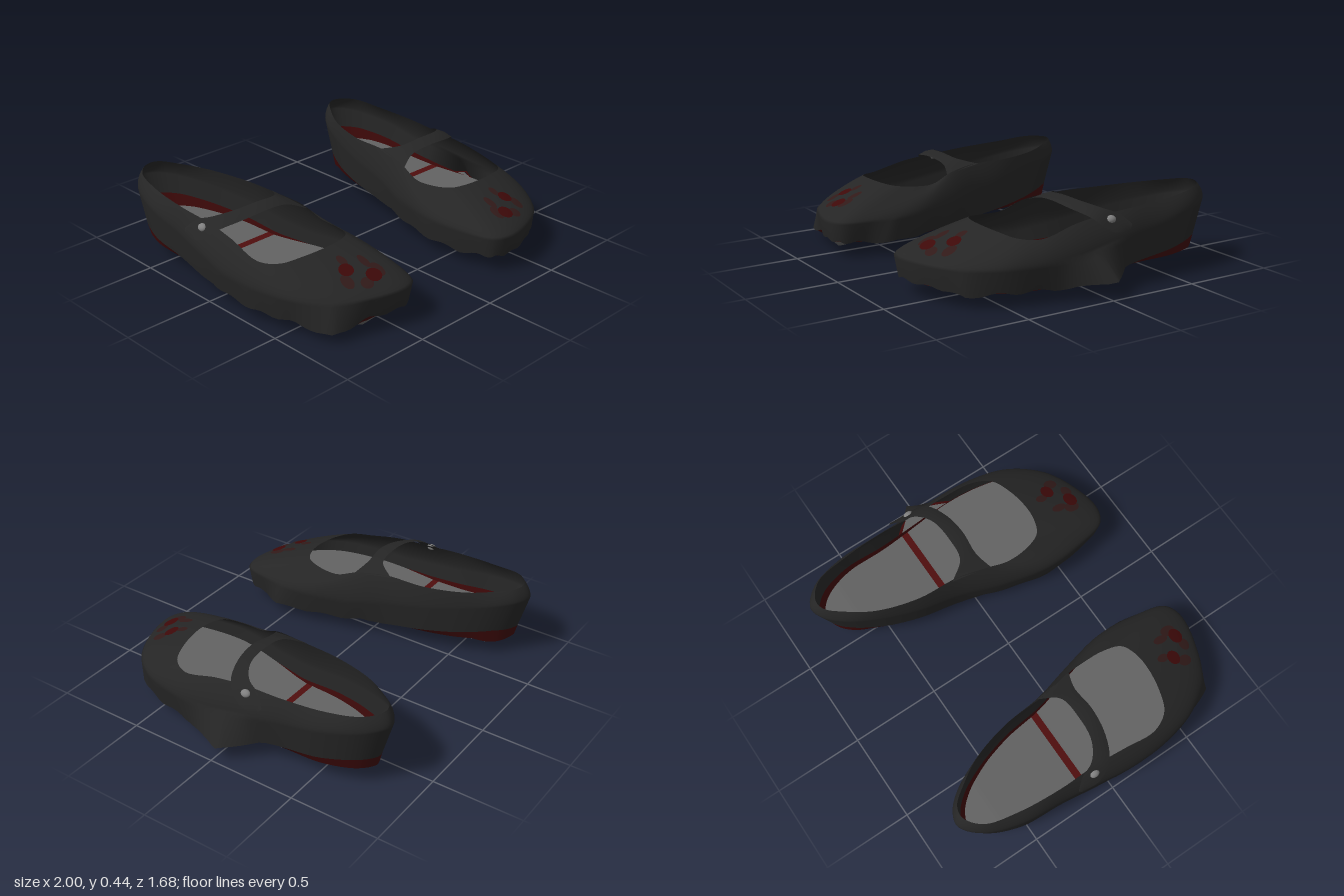
import * as THREE from 'three';

const mat = (name, color) => Object.assign(new THREE.MeshStandardMaterial({ color, side: THREE.DoubleSide }), { name });
const black = mat('black leather', 0x252525);
const red = mat('dark red', 0x3e0909);
const brightRed = mat('seam red', 0x500e0e);
const brown = mat('faded red', 0x311a19);
const grey = mat('insole grey', 0x626262);
const metal = mat('button grey', 0x808080);

const N = 120;
const V = (x, y, z) => new THREE.Vector3(x, y, z);
const clamp = THREE.MathUtils.clamp, lerp = THREE.MathUtils.lerp;

// Heel round the outer side to the toe and back: outline x, z, then rim x, y, z
const PLAN = [
  [-.77, -.84, -.765, .445, -.80], [-.865, -.76, -.85, .44, -.73], [-.94, -.55, -.895, .42, -.55],
  [-.955, -.3, -.915, .405, -.3], [-.98, -.08, -.91, .39, -.08], [-1, .15, -.92, .37, .1],
  [-.985, .37, -.925, .325, .3], [-.93, .56, -.87, .33, .4], [-.8, .72, -.76, .345, .445],
  [-.62, .81, -.62, .355, .465], [-.45, .84, -.52, .355, .455], [-.36, .8, -.45, .35, .42],
  [-.315, .65, -.415, .34, .32], [-.295, .4, -.41, .34, .2], [-.35, .14, -.425, .385, .08],
  [-.42, -.1, -.46, .41, -.1], [-.46, -.35, -.475, .41, -.33], [-.53, -.57, -.54, .42, -.56],
  [-.61, -.73, -.63, .435, -.71], [-.69, -.815, -.70, .445, -.79]];

function sample(points, closed, n) {
  const c = new THREE.CatmullRomCurve3(points, closed);
  return Array.from({ length: n }, (_, i) => c.getPoint(i / (closed ? n : n - 1)));
}

// Skin between rows of points
function loft(rows, closed) {
  const n = rows[0].length, pos = [], idx = [];
  rows.forEach(r => r.forEach(p => pos.push(p.x, p.y, p.z)));
  for (let j = 0; j < rows.length - 1; j++)
    for (let i = 0; i < (closed ? n : n - 1); i++) {
      const a = j * n + i, b = j * n + (i + 1) % n;
      idx.push(a, b, b + n, a, b + n, a + n);
    }
  const g = new THREE.BufferGeometry();
  g.setAttribute('position', new THREE.Float32BufferAttribute(pos, 3));
  g.setIndex(idx);
  g.computeVertexNormals();
  return g;
}

// Moves a ring inwards in plan
function inset(ring, d) {
  return ring.map((p, i) => {
    const a = ring[(i + N - 1) % N], b = ring[(i + 1) % N];
    const l = Math.hypot(b.x - a.x, b.z - a.z) || 1;
    return V(p.x + (b.z - a.z) / l * d, p.y, p.z - (b.x - a.x) / l * d);
  });
}

// Surface filling a ring between two z limits, at height y(x, z)
function plate(ring, z0, z1, y) {
  const zs = ring.map(p => p.z), rows = [], steps = 48;
  z0 = Math.max(z0, Math.min(...zs) + .001);
  z1 = Math.min(z1, Math.max(...zs) - .001);
  for (let s = 0; s <= steps; s++) {
    const z = lerp(z0, z1, .5 - .5 * Math.cos(Math.PI * s / steps)), xs = [];
    ring.forEach((p, i) => {
      const q = ring[(i + 1) % N];
      if ((p.z <= z) !== (q.z <= z)) xs.push(lerp(p.x, q.x, (z - p.z) / (q.z - p.z)));
    });
    const lo = Math.min(...xs), hi = Math.max(...xs);
    rows.push(Array.from({ length: 13 }, (_, k) => {
      const x = lerp(lo, hi, k / 12);
      return V(x, y(x, z), z);
    }));
  }
  return loft(rows, false);
}

const withY = (ring, y) => ring.map(p => V(p.x, y(p.z), p.z));
const mix = (a, b, t) => a.map((p, i) => p.clone().lerp(b[i], t));

// spikes: ragged points of the lower edge [x, y, z, reach]; toe: sole point [x, z, depth]
function makeShoe(name, spikes, toe) {
  const shoe = new THREE.Group();
  shoe.name = name;
  const add = (part, geo, m) => {
    const mesh = new THREE.Mesh(geo, m);
    mesh.name = part;
    shoe.add(mesh);
    return mesh;
  };
  const sag = z => .015 * Math.sin(Math.PI * clamp(z / .84, 0, 1));
  const edgeY = z => lerp(.1, .175, clamp((-.1 - z) / .62, 0, 1)) - sag(z);
  const midY = z => .2 + .17 * clamp((.1 - z) / .94, 0, 1);

  // The heel leans in towards its lower edge
  const outline = sample(PLAN.map(p => V(p[0], 0, p[1])), true, N);
  const rim = sample(PLAN.map(p => V(p[2], p[3], p[4])), true, N);
  const mid = withY(outline, midY);
  const base = inset(outline, .018).map(p => V(p.x, edgeY(p.z), p.z < -.5 ? -.5 + (p.z + .5) * .88 : p.z));

  // Upper: ragged lower edge, widest line, then curving in to the rim
  const ragged = base.map((p, i) => V(p.x, p.y + (p.z > 0 ? .007 * Math.sin(i * 1.1) : 0), p.z));
  const wide = mid.map(p => p.clone());
  for (const [x, y, z, reach] of spikes) {
    const tip = V(x, y, z);
    const root = base.reduce((a, p) => p.distanceTo(tip) < a.distanceTo(tip) ? p : a);
    const move = tip.clone().sub(root);
    base.forEach((p, i) => {
      const w = Math.max(0, 1 - p.distanceTo(root) / reach);
      ragged[i].addScaledVector(move, w);
      wide[i].addScaledVector(move, w * .15);
    });
  }
  const rows = [ragged, wide];
  for (const t of [.03, .07, .12, .18, .25, .33, .41, .5, .6, .7, .8, .9, 1])
    rows.push(mid.map((p, i) => {
      const bulge = lerp(.55, .72, clamp((p.z - .45) / .3, 0, 1));
      return V(lerp(p.x, rim[i].x, t), lerp(p.y, rim[i].y, t ** bulge), lerp(p.z, rim[i].z, t));
    }));
  const upper = add('upper', loft(rows, true), black);

  // Welt and sole, with worn points under toe and heel
  const soleY = (x, z) => {
    const dz = z - toe[1];
    const toePoint = Math.max(0, 1 - Math.hypot((x - toe[0]) / .2, dz / (dz > 0 ? .09 : .24)));
    const heelPoint = Math.max(0, 1 - Math.hypot((x + .71) / .13, (z + .64) / .13));
    return .1 + .01 * clamp((-.1 - z) / .1, 0, 1) - sag(z) - .055 * heelPoint - toe[2] * toePoint;
  };
  const soleRing = inset(ragged, .016);
  add('welt', loft([ragged, soleRing.map(p => V(p.x, soleY(p.x, p.z), p.z))], true), red);
  add('sole', plate(soleRing, -1, 1, soleY), grey);

  // Insole: heel bed, red seam and forefoot, with a red lining round the edge
  const inner = inset(base, .01);
  const bedY = (x, z) => lerp(.15, .19, clamp((-.12 - z) / .5, 0, 1));
  add('heelBed', plate(inner, -1, -.165, bedY), grey);
  add('seam', plate(inner, -.165, -.125, bedY), brightRed);
  add('insole', plate(inner, -.125, 1, bedY), grey);
  add('lining', loft([inner, inset(mix(base, mid, .45), .01)], true), red);

  // Strap across the instep with its button
  const front = [[-.975, .305, -.2], [-.978, .315, -.09], [-.925, .385, 0], [-.8, .42, .055],
    [-.66, .435, .072], [-.52, .415, .065], [-.415, .37, .1]];
  const back = [[-.965, .335, -.22], [-.925, .385, -.17], [-.89, .418, -.09], [-.8, .442, -.03],
    [-.66, .45, -.015], [-.53, .437, -.03], [-.455, .408, -.13]];
  const [f, b] = [front, back].map(e => sample(e.map(p => V(...p)), false, 30));
  const crown = mix(f, b, .5).map(p => p.add(V(-.004, .006, 0)));
  add('strap', loft([f, crown, b], false), black);
  const button = add('button', new THREE.SphereGeometry(.025, 16, 10), metal);
  button.scale.set(.7, .85, 1.1);
  button.rotation.z = -.8;
  button.position.set(-.941, .37, -.105);

  // Painted spots laid on the toe
  const ray = new THREE.Raycaster(), down = V(0, -1, 0);
  const spot = (part, x, z, rx, rz, lift, m) => {
    const g = new THREE.RingGeometry(.001, 1, 18, 4).rotateX(-Math.PI / 2).scale(rx, 1, rz).translate(x, 0, z);
    const p = g.attributes.position;
    for (let i = 0; i < p.count; i++) {
      ray.set(V(p.getX(i), 1, p.getZ(i)), down);
      const hit = ray.intersectObject(upper)[0];
      p.setY(i, (hit ? hit.point.y : .3) + lift);
    }
    g.computeVertexNormals();
    add(part, g, m);
  };
  for (const [x, z, rx, rz] of [[-.625, .575, .022, .035], [-.53, .63, .022, .045], [-.69, .68, .03, .04],
    [-.61, .735, .035, .03], [-.505, .7, .03, .045]]) spot('fadedSpot', x, z, rx, rz, .005, brown);
  spot('redSpot', -.65, .63, .04, .036, .009, red);
  spot('redSpot', -.55, .72, .043, .038, .009, red);
  return shoe;
}

export function createModel() {
  const model = new THREE.Group();
  model.name = 'shoes';
  const right = makeShoe('rightShoe',
    [[-.85, .06, .74, .18], [-.285, .08, .55, .12], [-.98, .085, .3, .1]], [-.6, .7, .085]);
  const left = makeShoe('leftShoe',
    [[-1.11, .1, -.03, .2], [-1.0, .075, .2, .12], [-.84, .07, .68, .1], [-.33, .075, .6, .1]], [-.53, .68, .035]);
  left.scale.x = -1;
  left.position.x = -.11;
  model.add(right, left);
  return model;
}
